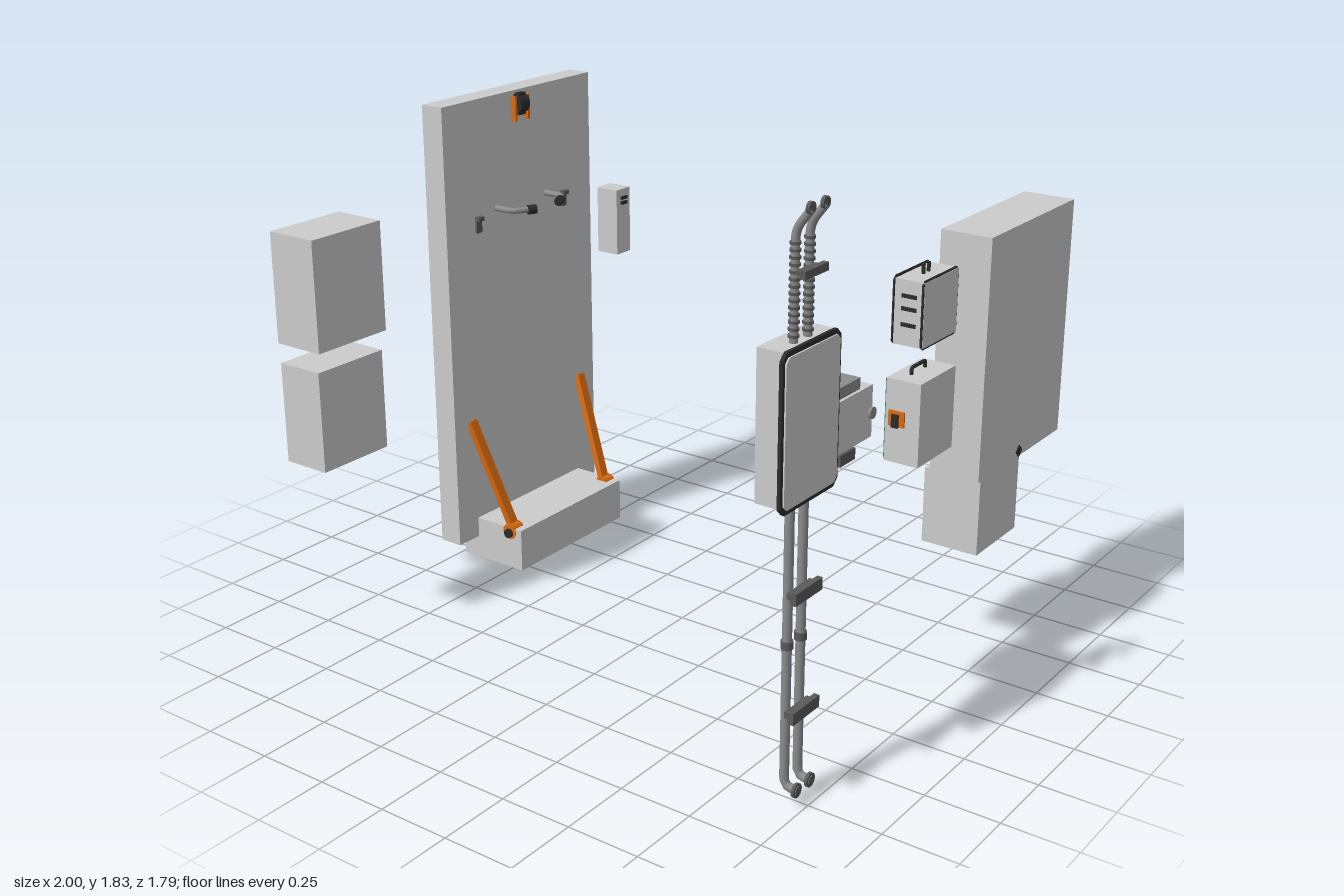
import * as THREE from 'three';

const mat = (name, color) => Object.assign(new THREE.MeshStandardMaterial({ color }), { name });

export function createModel() {
  const root = new THREE.Group();
  root.name = 'equipmentSet';
  const grey = mat('light grey', 0xcccccc);
  const steel = mat('steel', 0x8c8c8c);
  const slate = mat('slate', 0x5a5a5a);
  const dark = mat('charcoal', 0x2c2c2c);
  const orange = mat('orange', 0xdc6a10);
  const green = mat('circuit green', 0x2a8a4c);

  const add = (name, geo, m, parent = root) => {
    const mesh = new THREE.Mesh(geo, m);
    mesh.name = name;
    parent.add(mesh);
    return mesh;
  };
  // Box given by its limits on each axis
  const box = (name, m, x0, x1, y0, y1, z0, z1) => {
    const b = add(name, new THREE.BoxGeometry(x1 - x0, y1 - y0, z1 - z0), m);
    b.position.set((x0 + x1) / 2, (y0 + y1) / 2, (z0 + z1) / 2);
    return b;
  };
  // Cylinder between two points
  const rod = (name, m, a, b, r, sides = 16) => {
    const p = new THREE.Vector3(...a), q = new THREE.Vector3(...b), d = q.clone().sub(p);
    const c = add(name, new THREE.CylinderGeometry(r, r, d.length(), sides), m);
    c.position.copy(p).add(q).multiplyScalar(0.5);
    c.quaternion.setFromUnitVectors(new THREE.Vector3(0, 1, 0), d.normalize());
    return c;
  };
  // Pipe along straight runs with rounded bends
  const pipe = (name, m, pts, r, bend) => {
    const v = pts.map(p => new THREE.Vector3(...p));
    const path = new THREE.CurvePath();
    let last = v[0];
    for (let i = 1; i < v.length - 1; i++) {
      const a = v[i].clone().add(v[i - 1].clone().sub(v[i]).setLength(bend));
      const b = v[i].clone().add(v[i + 1].clone().sub(v[i]).setLength(bend));
      path.add(new THREE.LineCurve3(last, a));
      path.add(new THREE.QuadraticBezierCurve3(a, v[i], b));
      last = b;
    }
    path.add(new THREE.LineCurve3(last, v[v.length - 1]));
    return add(name, new THREE.TubeGeometry(path, 48, r, 12), m);
  };
  // Upright plate with chamfered corners, facing +x
  const plate = (name, m, x0, x1, y0, y1, z0, z1, c) => {
    const w = (z1 - z0) / 2, h = (y1 - y0) / 2;
    const s = new THREE.Shape([[-w + c, -h], [w - c, -h], [w, -h + c], [w, h - c],
      [w - c, h], [-w + c, h], [-w, h - c], [-w, -h + c]].map(p => new THREE.Vector2(...p)));
    const g = new THREE.ExtrudeGeometry(s, { depth: x1 - x0, bevelEnabled: false });
    const p = add(name, g, m);
    p.rotation.y = Math.PI / 2;
    p.position.set(x0, (y0 + y1) / 2, (z0 + z1) / 2);
  };

  // Wall panel and its foot box
  box('wallPanel', grey, -1, -0.91, 0.09, 1.74, -0.65, 0.155);
  box('footBox', grey, -0.98, -0.7, 0.005, 0.165, -0.545, 0.05);

  // Parts mirrored about the panel's middle plane
  const mid = -0.248;
  for (const s of [-1, 1]) {
    const z = d => mid + s * d;
    // Folding struts with pivots
    const a = new THREE.Vector3(-0.91, 0.56, z(0.315)), b = new THREE.Vector3(-0.755, 0.15, z(0.27));
    const strut = add('strut', new THREE.BoxGeometry(0.024, 0.036, a.distanceTo(b)), orange);
    strut.position.copy(a).add(b).multiplyScalar(0.5);
    strut.up.set(0, 0, 1);
    strut.lookAt(b);
    rod('strutPivot', orange, [-0.755, 0.15, z(0.25)], [-0.755, 0.15, z(0.3)], 0.03);
    rod('pivotBolt', dark, [-0.755, 0.145, z(0.3)], [-0.755, 0.145, z(0.312)], 0.017);
    // Curved grab handles with dark grips
    pipe('grabHandle', steel, [[-0.912, 1.33, z(0.138)], [-0.83, 1.33, z(0.138)], [-0.795, 1.33, z(0.075)]], 0.011, 0.025);
    rod('handleGrip', dark, [-0.8, 1.33, z(0.092)], [-0.785, 1.33, z(0.064)], 0.017);
    // Small coat hooks
    box('coatHookPlate', slate, -0.91, -0.903, 1.26, 1.32, z(0.238) - 0.014, z(0.238) + 0.014);
    box('coatHookTip', slate, -0.903, -0.89, 1.305, 1.32, z(0.238) - 0.014, z(0.238) + 0.014);
    // Roller brackets
    box('rollerBracket', orange, -0.91, -0.89, 1.63, 1.72, z(0.034) - 0.005, z(0.034) + 0.005);
    // Rear rails with clips and bottom pegs
    box('rearRail', dark, -1.002, -0.998, 0.2, 1.68, z(0.335) - 0.004, z(0.335) + 0.004);
    for (const y of [0.48, 0.85, 1.19, 1.57])
      box('railClip', slate, -1.003, -0.998, y - 0.035, y + 0.035, z(0.315) - 0.018, z(0.315) + 0.018);
    box('bottomPeg', slate, -1, -0.98, 0.055, 0.12, z(0.255) - 0.012, z(0.255) + 0.012);
    rod('footCap', dark, [-0.74, 0, z(0.25)], [-0.74, 0.006, z(0.25)], 0.014);
  }
  rod('topRoller', dark, [-0.91, 1.69, mid - 0.024], [-0.91, 1.69, mid + 0.024], 0.036, 24);
  box('rollerFork', dark, -0.91, -0.89, 1.65, 1.73, mid - 0.018, mid + 0.018);

  // Stacked storage boxes and the small wall unit
  box('upperStorageBox', grey, -1, -0.81, 1.07, 1.45, 0.575, 0.88);
  box('lowerStorageBox', grey, -1, -0.825, 0.65, 1.0, 0.585, 0.875);
  box('smallWallUnit', grey, -1, -0.905, 0.99, 1.25, -0.893, -0.81);
  for (const y of [1.195, 1.215])
    box('wallUnitVent', dark, -0.905, -0.898, y - 0.006, y + 0.006, -0.87, -0.835);

  // Meter cabinet: dark door frame, pale door, rear dial
  box('cabinetBody', grey, 0.875, 0.968, 0.98, 1.435, 0.61, 0.87);
  plate('cabinetDoorFrame', dark, 0.964, 0.975, 0.968, 1.44, 0.598, 0.895, 0.022);
  plate('cabinetDoor', grey, 0.974, 0.98, 0.983, 1.425, 0.61, 0.883, 0.015);
  const ring = add('rearDialRing', new THREE.TorusGeometry(0.085, 0.006, 8, 32), slate);
  ring.rotation.y = Math.PI / 2;
  ring.position.set(0.875, 1.268, 0.75);
  rod('rearDial', grey, [0.87, 1.268, 0.75], [0.88, 1.268, 0.75], 0.083, 32);
  box('rearTag', orange, 0.87, 0.876, 1.025, 1.055, 0.8, 0.83);

  // Side box with clips and knob
  box('sideBox', grey, 0.77, 0.975, 1.055, 1.215, 0.415, 0.61);
  box('upperClip', steel, 0.89, 0.965, 1.215, 1.25, 0.47, 0.597);
  box('lowerClip', slate, 0.89, 0.965, 1.005, 1.04, 0.485, 0.567);
  rod('sideKnob', steel, [0.965, 1.13, 0.42], [0.983, 1.13, 0.42], 0.018);

  // Twin conduits
  for (const z of [0.71, 0.782]) {
    pipe('lowerConduit', steel, [[0.935, 0.98, z], [0.935, 0.06, z], [0.985, 0.06, z]], 0.0145, 0.03);
    pipe('upperConduit', steel, [[0.935, 1.43, z], [0.935, 1.75, z], [0.985, 1.815, z]], 0.0125, 0.03);
    rod('lowerEndFlange', slate, [0.973, 0.06, z], [0.983, 0.06, z], 0.023);
    rod('upperEndFlange', slate, [0.975, 1.815, z], [0.986, 1.815, z], 0.018);
    rod('conduitCollar', slate, [0.935, 0.513, z], [0.935, 0.538, z], 0.019);
    for (let y = 1.45; y < 1.73; y += 0.02)
      rod('conduitRib', slate, [0.935, y, z], [0.935, y + 0.008, z], 0.016, 12);
  }
  for (const [y, h, z0, z1] of [[0.31, 0.019, 0.675, 0.815], [0.69, 0.019, 0.675, 0.815], [1.635, 0.012, 0.688, 0.805]]) {
    box('conduitClamp', slate, 0.945, 0.965, y - h * 0.5, y + h * 0.5, z0 + 0.01, z1 - 0.01);
    box('clampPlate', slate, 0.965, 0.983, y - h, y + h, z0, z1);
  }

  // Large cabinet with the compartment below
  box('largeCabinet', grey, 0.8, 0.98, 0.665, 1.49, -0.875, -0.285);
  box('lowerCompartment', grey, 0.775, 0.98, 0.4, 0.666, -0.578, -0.3);
  const latch = box('diamondLatch', dark, 0.977, 0.984, 0.67, 0.7, -0.585, -0.555);
  latch.rotation.x = Math.PI / 4;

  // Upper control box
  plate('upperControlBack', dark, 0.87, 0.875, 1.237, 1.452, -0.083, 0.135, 0.012);
  box('upperControlBox', grey, 0.875, 0.975, 1.24, 1.445, -0.08, 0.13);
  plate('upperControlTrim', dark, 0.968, 0.974, 1.235, 1.45, -0.083, 0.135, 0.012);
  box('upperControlRear', grey, 0.866, 0.871, 1.25, 1.44, -0.07, 0.12);
  for (const z of [0.01, 0.042])
    rod('topPeg', dark, [0.92, 1.44, z], [0.92, 1.475, z], 0.006, 10);
  for (const y of [1.3, 1.35, 1.39]) {
    box('frontSlot', dark, 0.9, 0.95, y, y + 0.012, 0.128, 0.134);
    box('rearSlot', dark, 0.862, 0.867, y, y + 0.014, -0.03, 0.08);
  }

  // Lower control box with circuit panels on two sides
  box('lowerControlBox', grey, 0.862, 0.98, 0.86, 1.13, -0.082, 0.135);
  box('rearCircuit', green, 0.857, 0.863, 0.865, 1.125, -0.08, 0.13);
  box('sideCircuit', green, 0.875, 0.97, 0.87, 1.12, -0.086, -0.081);
  box('circuitCover', grey, 0.89, 0.955, 0.91, 1.08, -0.089, -0.085);
  for (const [y, z, w] of [[0.9, 0.0, 0.03], [0.95, 0.09, 0.02], [1.0, -0.04, 0.02], [1.04, 0.06, 0.03], [1.09, 0.0, 0.02]])
    box('circuitChip', dark, 0.854, 0.858, y - 0.012, y + 0.012, z - w / 2, z + w / 2);
  box('orangeButton', orange, 0.875, 0.93, 0.98, 1.03, 0.134, 0.141);
  box('buttonStop', dark, 0.89, 0.912, 0.978, 1.02, 0.14, 0.15);
  for (const y of [0.92, 1.07])
    box('sideLatch', dark, 0.92, 0.96, y - 0.02, y + 0.02, -0.095, -0.08);
  pipe('carryHandle', dark, [[0.91, 1.125, -0.015], [0.91, 1.152, -0.015], [0.91, 1.152, 0.07], [0.91, 1.125, 0.07]], 0.006, 0.01);

  return root;
}
